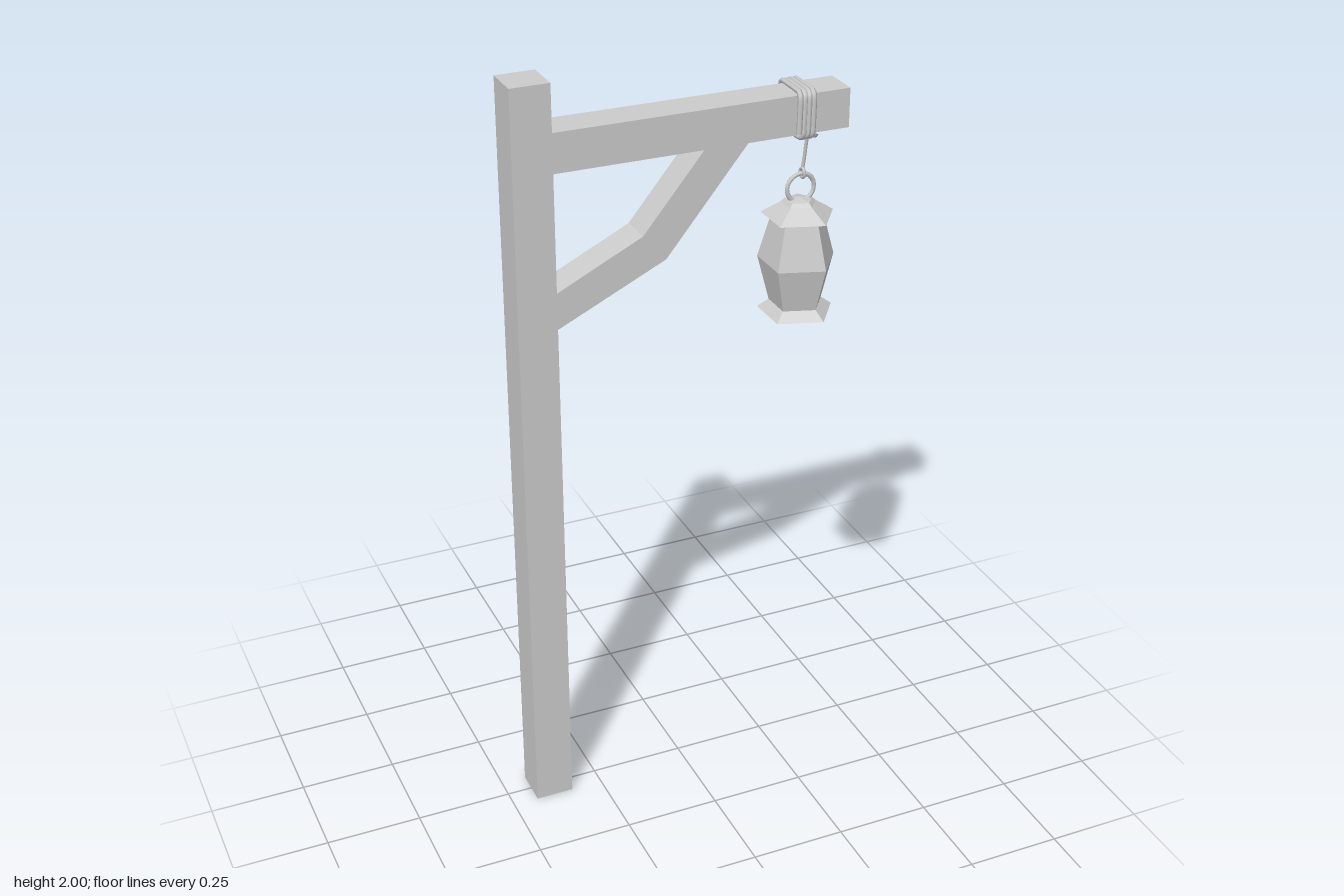
import * as THREE from 'three';

const material = new THREE.MeshStandardMaterial({ color: 0xcccccc, flatShading: true });
const smooth = new THREE.MeshStandardMaterial({ color: 0xcccccc });

const LANTERN_X = 0.327;
const ARM_Y = 1.83;

function add(parent, name, geometry, x = 0, y = 0, z = 0, mat = material) {
  const mesh = new THREE.Mesh(geometry, mat);
  mesh.name = name;
  mesh.position.set(x, y, z);
  parent.add(mesh);
  return mesh;
}

// Five-sided turned part with one corner pointing along +x
function pentagon(profile) {
  const points = profile.map(([r, y]) => new THREE.Vector2(r, y));
  return new THREE.LatheGeometry(points, 5, Math.PI / 2);
}

function rope(points, segments, radius) {
  const curve = new THREE.CatmullRomCurve3(points, false, 'catmullrom', 0.2);
  return new THREE.TubeGeometry(curve, segments, radius, 6);
}

export function createModel() {
  const model = new THREE.Group();
  model.name = 'lanternPost';

  // Timber frame
  add(model, 'post', new THREE.BoxGeometry(0.1, 2, 0.1), -0.384, 1, 0);
  add(model, 'arm', new THREE.BoxGeometry(0.767, 0.1, 0.096), 0.0485, ARM_Y, 0);

  // Bent brace under the arm
  const braceShape = new THREE.Shape([
    [-0.335, 1.38], [-0.05, 1.515], [0.165, 1.78],
    [0.05, 1.78], [-0.11, 1.585], [-0.335, 1.475],
  ].map(([x, y]) => new THREE.Vector2(x, y)));
  const brace = new THREE.ExtrudeGeometry(braceShape, { depth: 0.09, bevelEnabled: false });
  add(model, 'brace', brace, 0, 0, -0.045);

  // Rope coiled round the arm, following a chamfered square
  const a = 0.058, b = 0.044;
  const corners = [[a, -b], [a, b], [b, a], [-b, a], [-a, b], [-a, -b], [-b, -a], [b, -a]];
  const coil = [];
  const turns = 4;
  for (let i = 0; i <= turns * 8; i++) {
    const [z, y] = corners[i % 8];
    coil.push(new THREE.Vector3(0.292 + (0.048 * i) / (turns * 8), ARM_Y + y, z));
  }
  add(model, 'ropeCoil', rope(coil, 256, 0.007), 0, 0, 0, smooth);

  // Rope hanging down to the ring
  const hanging = [
    [0.34, 1.772, 0.03], [0.34, 1.768, 0.012], [0.339, 1.74, 0.006],
    [0.338, 1.7, 0], [0.336, 1.67, -0.004],
  ].map((p) => new THREE.Vector3(...p));
  add(model, 'hangingRope', rope(hanging, 24, 0.005), 0, 0, 0, smooth);
  const loop = add(model, 'ropeLoop', new THREE.TorusGeometry(0.012, 0.004, 6, 14),
    0.334, 1.66, 0, smooth);
  loop.rotation.y = Math.PI / 2;

  // Lantern
  const lantern = new THREE.Group();
  lantern.name = 'lantern';
  lantern.position.x = LANTERN_X;
  model.add(lantern);
  add(lantern, 'lanternBase', pentagon([[0, 1.29], [0.1, 1.29], [0.068, 1.315], [0, 1.315]]));
  add(lantern, 'lanternBody', pentagon([[0, 1.312], [0.07, 1.312], [0.102, 1.43], [0.066, 1.557], [0, 1.557]]));
  add(lantern, 'lanternRoof', pentagon([
    [0, 1.55], [0.096, 1.55], [0.046, 1.582], [0.036, 1.592], [0, 1.598],
  ]));
  add(lantern, 'lanternRing', new THREE.TorusGeometry(0.037, 0.006, 6, 20), 0.003, 1.622, 0, smooth);

  return model;
}
